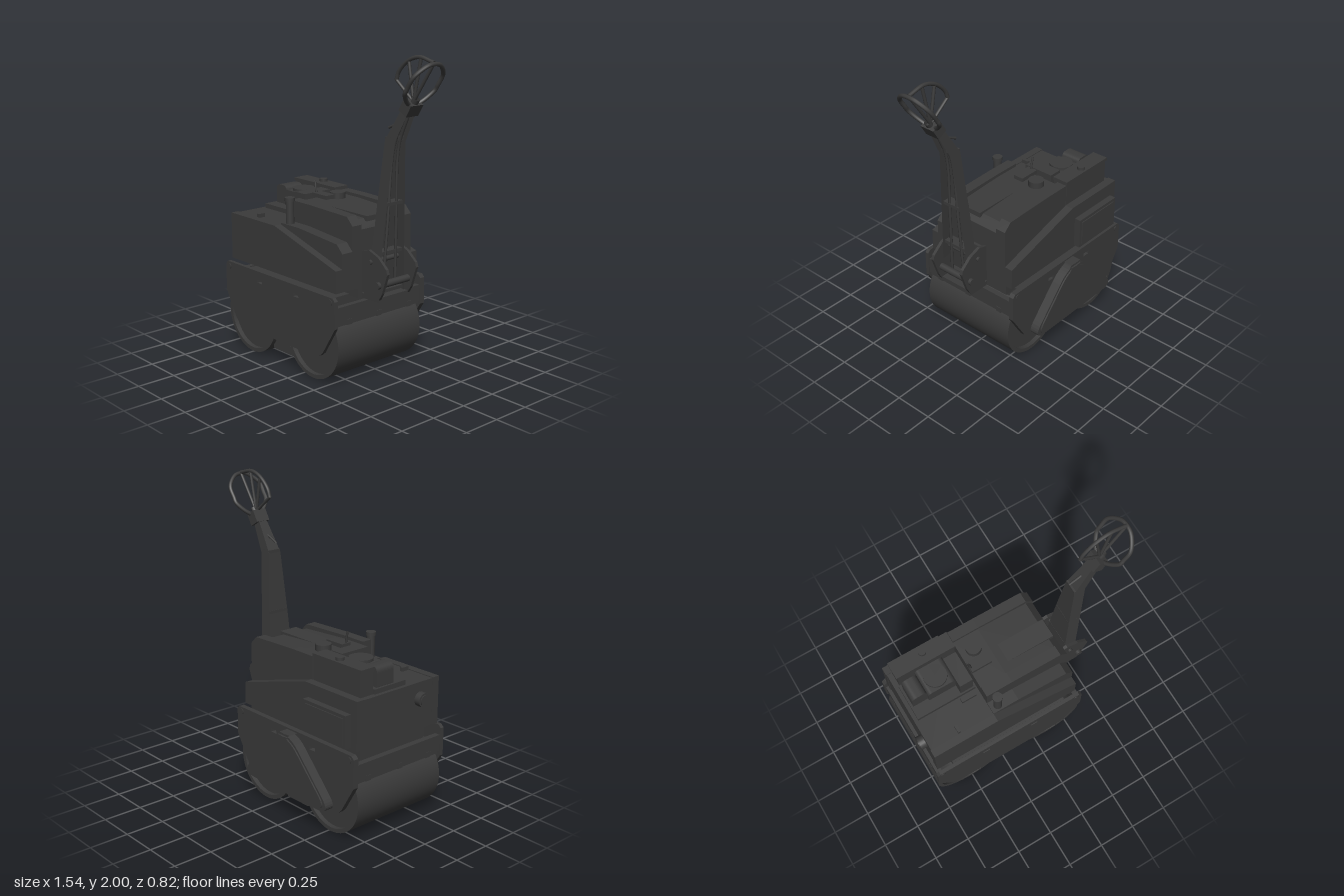
import * as THREE from 'three';

const mat = new THREE.MeshStandardMaterial({ color: 0x3a3a3a, side: THREE.DoubleSide });
const V = (x, y, z) => new THREE.Vector3(x, y, z);

export function createModel() {
  const model = new THREE.Group();
  const add = (name, geo, x = 0, y = 0, z = 0) => {
    const m = new THREE.Mesh(geo, mat);
    m.name = name;
    m.position.set(x, y, z);
    model.add(m);
    return m;
  };
  // box from its min and max on each axis
  const box = (name, x0, x1, y0, y1, z0, z1) =>
    add(name, new THREE.BoxGeometry(x1 - x0, y1 - y0, z1 - z0), (x0 + x1) / 2, (y0 + y1) / 2, (z0 + z1) / 2);
  // side outline extruded from z0 to z1
  const prism = (name, outline, z0, z1, holes = []) => {
    const s = outline instanceof THREE.Shape ? outline : new THREE.Shape(outline.map(p => new THREE.Vector2(...p)));
    s.holes.push(...holes);
    return add(name, new THREE.ExtrudeGeometry(s, { depth: z1 - z0, bevelEnabled: false, curveSegments: 10 }), 0, 0, z0);
  };
  const disc = (name, r, h, x, y, z, axis = 'y') => {
    const m = add(name, new THREE.CylinderGeometry(r, r, h, 24), x, y, z);
    if (axis === 'x') m.rotation.z = Math.PI / 2;
    if (axis === 'z') m.rotation.x = Math.PI / 2;
    return m;
  };
  const rod = (name, pts, r, closed = false) =>
    add(name, new THREE.TubeGeometry(new THREE.CatmullRomCurve3(pts, closed, 'centripetal'), pts.length * 6, r, 8, closed));
  const slot = (x, y, w, h) => new THREE.Path([[-w, -h], [w, -h], [w, h], [-w, h]]
    .map(([a, b]) => new THREE.Vector2(x + a / 2, y + b / 2)));
  // polygon with every corner rounded by its own radius
  const rounded = corners => {
    const s = new THREE.Shape(), n = corners.length;
    corners.forEach(([x, y, r], i) => {
      const p = new THREE.Vector2(x, y);
      const toward = j => {
        const q = new THREE.Vector2(corners[j][0], corners[j][1]).sub(p).setLength(r);
        return q.add(p);
      };
      const a = toward((i + n - 1) % n), b = toward((i + 1) % n);
      i ? s.lineTo(a.x, a.y) : s.moveTo(a.x, a.y);
      s.quadraticCurveTo(x, y, b.x, b.y);
    });
    s.closePath();
    return s;
  };

  // two rolling drums with recessed ends
  const half = 0.343;
  const drumProfile = [[0.001, -half + 0.03], [0.215, -half + 0.03], [0.215, -half], [0.24, -half],
    [0.24, half], [0.215, half], [0.215, half - 0.03], [0.001, half - 0.03]];
  for (const x of [-0.51, 0.097]) {
    const pts = drumProfile.flatMap(p => [p, p]).map(p => new THREE.Vector2(...p));
    add('drum', new THREE.LatheGeometry(pts, 64), x, 0.24, 0.037).rotation.x = Math.PI / 2;
    disc('drumAxle', 0.07, 0.7, x, 0.25, 0.037, 'z');
  }

  // side plates with slots
  const plate = [[-0.75, 0.55], [-0.75, 0.37], [-0.65, 0.2], [-0.625, 0.175], [-0.59, 0.16], [0.15, 0.16],
    [0.19, 0.175], [0.22, 0.2], [0.333, 0.38], [0.333, 0.55], [0.313, 0.57], [-0.73, 0.57]];
  for (const [z0, z1, out] of [[0.38, 0.405, 1], [-0.345, -0.31, -1]]) {
    prism('sidePlate', plate, z0, z1, [slot(-0.39, 0.505, 0.05, 0.022), slot(-0.03, 0.505, 0.05, 0.022)]);
    for (const x of [-0.712, 0.29]) disc('liftingEye', 0.018, 0.012, x, 0.54, out > 0 ? 0.403 : -0.343, 'z');
  }

  // drive cover on the back plate
  prism('driveCover', rounded([[-0.63, 0.17, 0.13], [0.215, 0.17, 0.13], [-0.13, 0.56, 0.12], [-0.26, 0.56, 0.1]]),
    -0.405, -0.34);
  prism('driveCoverFace', rounded([[-0.6, 0.185, 0.12], [0.185, 0.185, 0.12], [-0.135, 0.545, 0.11], [-0.255, 0.545, 0.1]]),
    -0.414, -0.4);

  // chassis, end beams and scrapers
  box('chassisFloor', -0.71, 0.3, 0.52, 0.59, -0.26, 0.19);
  box('chassisCore', -0.62, 0.22, 0.42, 0.53, -0.3, 0.37);
  for (const [x0, x1] of [[-0.742, -0.705], [0.29, 0.325]]) {
    box('endBeam', x0, x1, 0.4, 0.505, -0.31, 0.38);
    box('scraperBlade', x0 + 0.005, x1 - 0.005, 0.385, 0.4, -0.3, 0.37);
    for (const z of [-0.22, 0.04, 0.28]) box('scraperMount', x0 - 0.002, x1 + 0.004, 0.385, 0.42, z - 0.02, z + 0.02);
  }
  prism('centreScraper', [[-0.3, 0.08], [-0.11, 0.08], [-0.11, 0.1], [-0.14, 0.14], [-0.14, 0.2], [-0.27, 0.2],
    [-0.27, 0.14], [-0.3, 0.1]], -0.3, 0.37);

  // lower body with sloping flanks
  const flank = [[-0.73, 0.585], [0.3, 0.585], [0.3, 0.725], [-0.28, 0.89], [-0.73, 0.89]];
  prism('frontFlank', flank, 0.315, 0.367);
  prism('backFlank', flank, -0.305, -0.25);
  box('tankBody', -0.725, -0.28, 0.585, 0.885, -0.25, 0.315);
  box('toolBox', -0.68, -0.31, 0.595, 0.8, -0.348, -0.305);
  box('toolBoxLid', -0.66, -0.33, 0.615, 0.78, -0.354, -0.345);

  // stepped hood: shoulders, ridges and a lower centre
  const hood = (y, drop) => [[-0.28, 0.585], [0.3, 0.585], [0.3, y - 0.05 - drop], [0.25, y - drop], [-0.1, y], [-0.28, y]];
  prism('hoodShoulder', hood(0.9, 0.03), 0.23, 0.315);
  prism('hoodRidge', hood(1.035, 0.01), 0.165, 0.235);
  prism('hoodRidge', hood(1.035, 0.01), -0.25, -0.18);
  prism('hoodCentre', hood(1.015, 0.02), -0.18, 0.165);
  box('hoodPanel', -0.08, 0.28, 0.98, 1.012, -0.03, 0.1);
  disc('fillerCap', 0.05, 0.04, -0.19, 1.035, -0.08);
  disc('fuelNeck', 0.026, 0.18, -0.23, 0.975, 0.28);
  disc('fuelCap', 0.032, 0.022, -0.23, 1.055, 0.28);
  box('controlBracket', -0.28, -0.14, 1.03, 1.055, -0.01, 0.06);
  rod('throttleLever', [V(-0.27, 1.03, 0.03), V(-0.275, 1.08, 0.03), V(-0.285, 1.13, 0.03)], 0.007);

  // engine bay
  box('airBox', -0.69, -0.29, 0.88, 1.04, -0.245, -0.145);
  box('airBoxLid', -0.7, -0.285, 1.035, 1.055, -0.25, -0.14);
  disc('airBoxCap', 0.026, 0.025, -0.48, 1.062, -0.21);
  prism('engineBlock', rounded([[-0.58, 0.88, 0.01], [-0.385, 0.88, 0.01], [-0.385, 1.02, 0.03], [-0.58, 1.02, 0.03]]), -0.135, 0.04);
  disc('engineCover', 0.075, 0.025, -0.483, 1.025, -0.045);
  prism('muffler', rounded([[-0.685, 0.9, 0.02], [-0.58, 0.9, 0.02], [-0.58, 1.04, 0.04], [-0.685, 1.04, 0.04]]), -0.11, 0.025);
  box('engineGuard', -0.39, -0.3, 0.88, 1.045, -0.11, 0.1);
  box('engineBase', -0.7, -0.29, 0.885, 0.915, -0.14, 0.11);
  box('latch', -0.53, -0.51, 0.885, 0.91, 0.26, 0.31);
  box('latch', -0.41, -0.31, 0.885, 0.91, 0.125, 0.155);
  disc('headlamp', 0.045, 0.04, -0.745, 0.78, 0.21, 'x');
  disc('headlampRim', 0.032, 0.015, -0.762, 0.78, 0.21, 'x');

  // handle bracket
  const bracket = [[0.29, 0.6], [0.34, 0.52], [0.44, 0.52], [0.475, 0.58], [0.52, 0.71], [0.51, 0.74],
    [0.44, 0.8], [0.36, 0.83], [0.29, 0.81]];
  for (const z of [-0.1, 0.14]) prism('handleBracket', bracket, z, z + 0.02);
  box('bracketBase', 0.28, 0.45, 0.52, 0.55, -0.1, 0.16);
  box('bracketBack', 0.295, 0.32, 0.56, 0.8, -0.1, 0.16);
  disc('handlePivot', 0.022, 0.3, 0.45, 0.63, 0.03, 'z');
  disc('handlePivot', 0.015, 0.29, 0.38, 0.76, 0.03, 'z');

  // handle column: tapering channel, open toward +x; rows are y, left x, right x, half width
  const rows = [[0.56, 0.34, 0.43, 0.11], [0.8, 0.358, 0.44, 0.095], [1.1, 0.38, 0.46, 0.075],
    [1.49, 0.412, 0.488, 0.046], [1.56, 0.455, 0.525, 0.04], [1.69, 0.535, 0.59, 0.03]];
  const pos = [];
  const quad = (a, b, c, d) => [a, b, c, a, c, d].forEach(p => pos.push(...p));
  const section = ([y, x0, x1, w]) => [[x1, y - 0.01, 0.038 + w], [x0, y, 0.038 + w], [x0, y, 0.038 - w], [x1, y - 0.01, 0.038 - w]];
  for (let i = 0; i + 1 < rows.length; i++) {
    const a = section(rows[i]), b = section(rows[i + 1]);
    for (let k = 0; k < 3; k++) quad(a[k + 1], a[k], b[k], b[k + 1]);
  }
  const channel = new THREE.BufferGeometry();
  channel.setAttribute('position', new THREE.Float32BufferAttribute(pos, 3));
  channel.computeVertexNormals();
  add('handleColumn', channel);
  rows.slice(0, 4).forEach(([y, x0, x1, w]) =>
    box('columnRib', x0, x1 - 0.015, y, y + 0.02, 0.04 - w, 0.036 + w));
  for (const s of [-1, 1])
    rod('controlHose', [V(0.41, 0.6, 0.038 + s * 0.05), V(0.43, 1.0, 0.038 + s * 0.035), V(0.46, 1.45, 0.038 + s * 0.02),
      V(0.54, 1.64, 0.038 + s * 0.015)], 0.009);
  rod('controlLever', [V(0.5, 1.6, 0.038), V(0.45, 1.58, 0.04), V(0.4, 1.557, 0.04)], 0.008);
  add('handleClamp', new THREE.BoxGeometry(0.07, 0.08, 0.1), 0.575, 1.695, 0.038).rotation.z = -0.55;

  // tilted grip ring and upright fan guard
  const loop = [[0, 0.035], [0.09, 0.12], [0.13, 0.122], [0.2, 0.12], [0.25, 0.085], [0.283, 0.035]];
  const at = (u, w) => V(0.597 + u * 0.547, 1.715 + u * 0.837, 0.038 + w);
  rod('gripRing', [...loop.map(([u, w]) => at(u, w)), ...loop.slice().reverse().map(([u, w]) => at(u, -w))], 0.013, true);
  rod('ringStem', [V(0.58, 1.69, 0.038), V(0.6, 1.72, 0.038), V(0.62, 1.75, 0.038)], 0.022);
  const arc = [[0.455, 1.84], [0.475, 1.89], [0.545, 1.955], [0.635, 1.985], [0.75, 1.962]].map(([x, y]) => V(x, y, 0.038));
  rod('fanArc', arc, 0.012);
  for (const [x, y] of [[0.455, 1.842], [0.555, 1.955], [0.65, 1.98], [0.75, 1.96]])
    rod('fanSpoke', [V(0.595, 1.73, 0.038), V(x, y, 0.038)], 0.01);

  return model;
}
